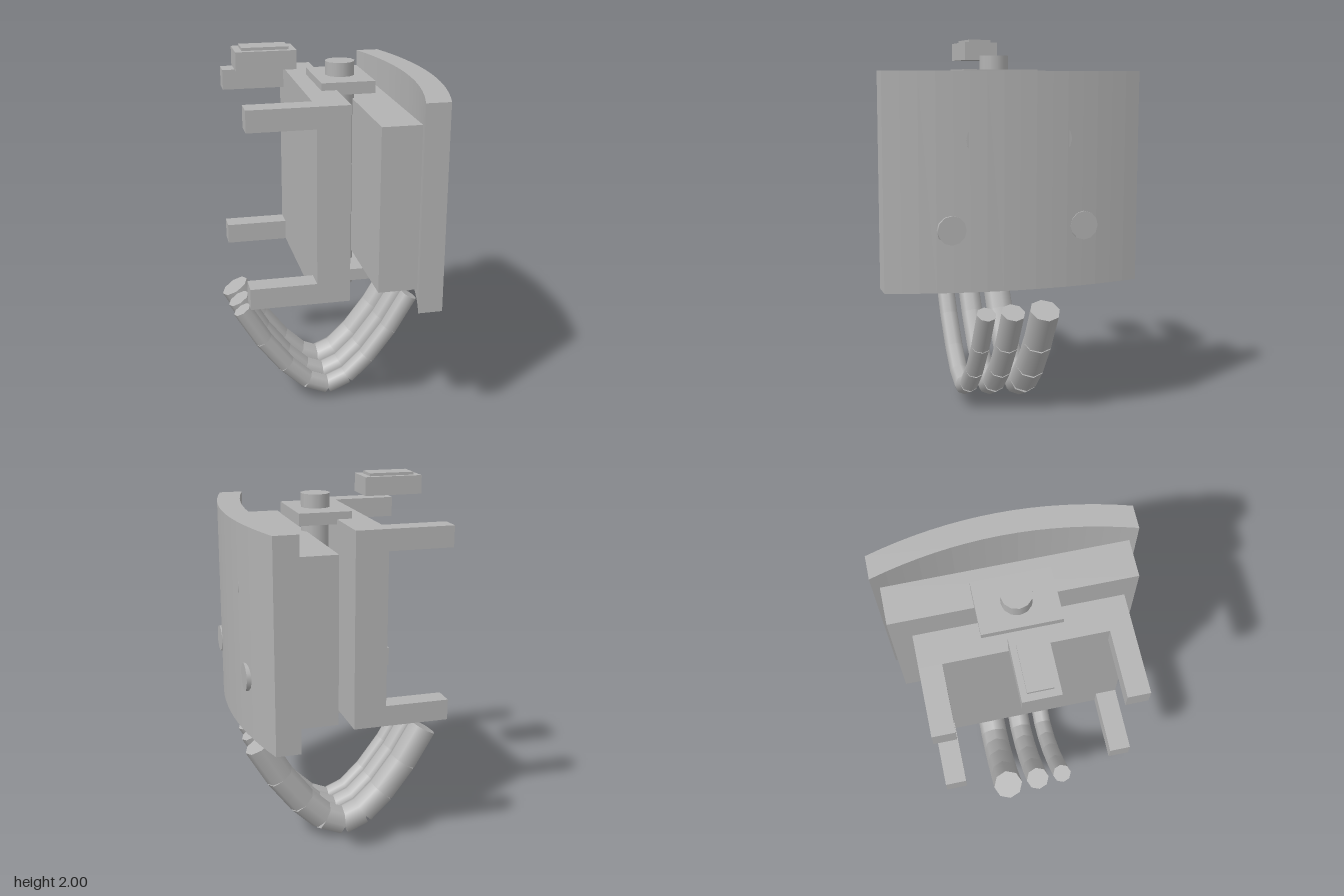
import * as THREE from 'three';

const grey = new THREE.MeshStandardMaterial({ color: 0xb3b3b3 });
grey.name = 'plain grey';

export function createModel() {
  const model = new THREE.Group();
  model.name = 'clampDevice';

  const add = (name, geometry, x = 0, y = 0, z = 0, parent = model) => {
    const mesh = new THREE.Mesh(geometry, grey);
    mesh.name = name;
    mesh.position.set(x, y, z);
    parent.add(mesh);
    return mesh;
  };
  // Box given by its limits on x and y and its half depth, centred on z
  const box = (name, x0, x1, y0, y1, halfZ, z = 0) =>
    add(name, new THREE.BoxGeometry(x1 - x0, y1 - y0, halfZ * 2), (x0 + x1) / 2, (y0 + y1) / 2, z);

  // Bracket plate with four corner arms
  box('bracketPlate', -0.155, 0.015, 0.77, 1.795, 0.515);
  for (const z of [-0.459, 0.459]) {
    box('lowerArm', -0.495, -0.155, 0.77, 0.88, 0.056, z);
    box('upperArm', -0.495, -0.155, 1.685, 1.795, 0.056, z);
  }

  // Pivot rod with its two end caps
  add('pivotRod', new THREE.CylinderGeometry(0.078, 0.078, 1.25, 12), 0.075, 1.28, 0);
  box('lowerCap', -0.065, 0.215, 0.738, 0.803, 0.2);
  box('upperCap', -0.065, 0.215, 1.77, 1.833, 0.2);

  // Backing block
  box('backingBlock', 0.133, 0.335, 0.855, 1.71, 0.63);

  // Curved shield: an arc band extruded upwards
  const halfWidth = 0.668, steps = 16;
  const arc = (base, i) => {
    const t = (i / steps) * 2 - 1;
    return new THREE.Vector2(base + 0.1 * (1 - t * t), t * halfWidth);
  };
  const outline = [];
  for (let i = 0; i <= steps; i++) outline.push(arc(0.46, i));
  for (let i = steps; i >= 0; i--) outline.push(arc(0.333, i));
  const shield = new THREE.ExtrudeGeometry(new THREE.Shape(outline), { depth: 1.085, bevelEnabled: false });
  shield.rotateX(-Math.PI / 2);
  add('curvedShield', shield, 0, 0.738, 0);

  // Round studs set into the shield
  const stud = new THREE.CylinderGeometry(0.073, 0.073, 0.06, 12).rotateZ(-Math.PI / 2);
  for (const side of [-1, 1]) {
    add('lowerStud', stud, 0.515, 1.05, side * 0.344);
    add('upperStud', stud, 0.515, 1.49, side * 0.2);
  }

  // Small floating control box with raised lid
  box('controlBox', -0.48, -0.17, 1.888, 1.985, 0.092);
  box('controlLid', -0.445, -0.205, 1.985, 2.0, 0.062);

  // Three curved fingers made of straight eight-sided links
  const half = [[-0.47, 0.595], [-0.355, 0.4], [-0.23, 0.235], [-0.115, 0.125], [0, 0.077]];
  const path = [...half, ...half.slice(0, -1).reverse().map(([x, y]) => [-x, y])]
    .map(([x, y]) => new THREE.Vector3(x - 0.025, y, 0));
  const up = new THREE.Vector3(0, 1, 0);
  for (const [name, z, r] of [['thickFinger', -0.173, 0.081], ['middleFinger', 0, 0.064], ['thinFinger', 0.143, 0.052]]) {
    const finger = new THREE.Group();
    finger.name = name;
    finger.position.z = z;
    model.add(finger);
    for (let i = 0; i < path.length - 1; i++) {
      const dir = path[i + 1].clone().sub(path[i]);
      const mid = path[i].clone().add(path[i + 1]).multiplyScalar(0.5);
      const link = add('fingerLink', new THREE.CylinderGeometry(r, r, dir.length(), 8), mid.x, mid.y, 0, finger);
      link.quaternion.setFromUnitVectors(up, dir.normalize());
    }
  }
  return model;
}
